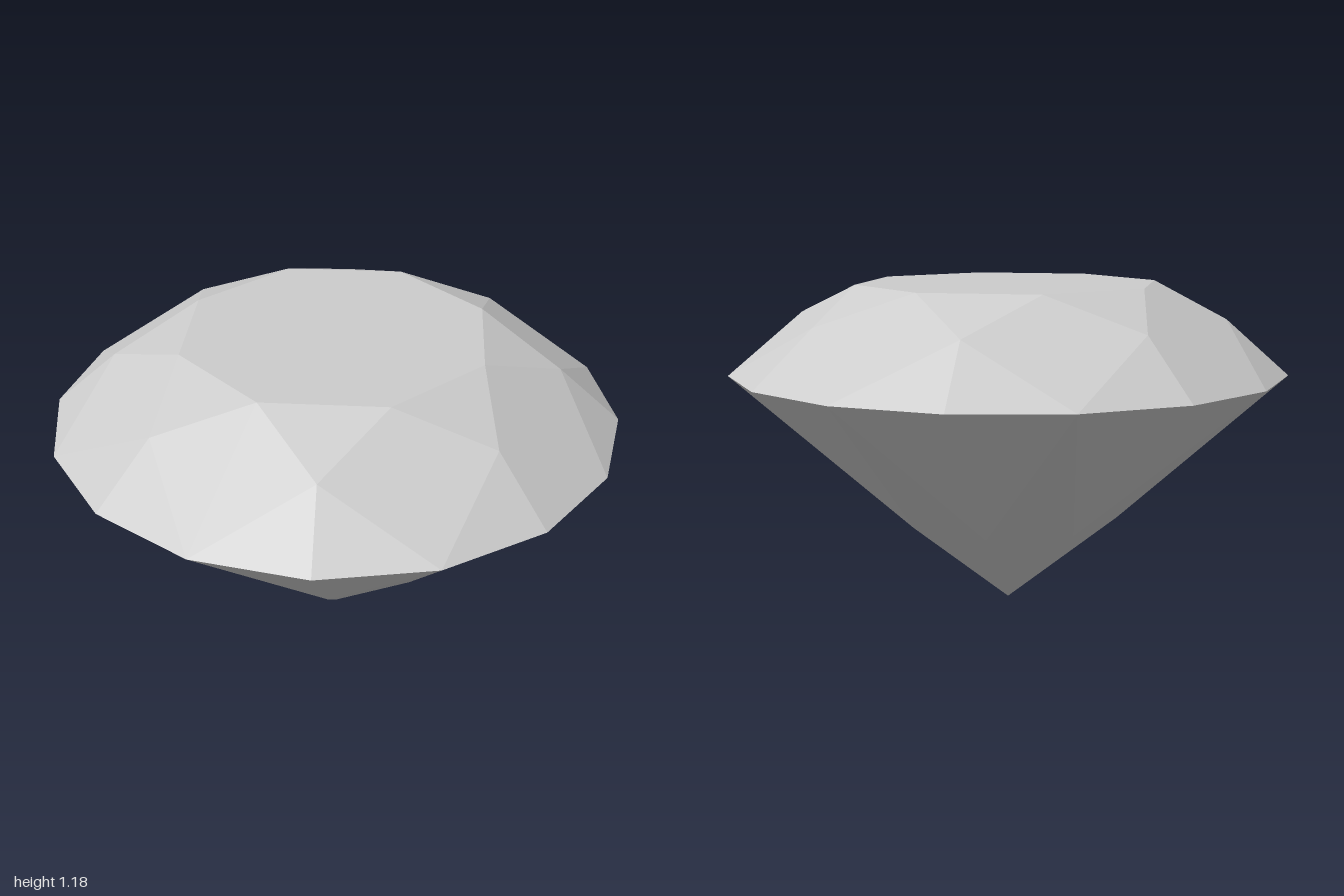
import * as THREE from 'three';

const SIDES = 8;
const STEP = (Math.PI * 2) / SIDES;
const GIRDLE_Y = 0.866;
const TABLE_Y = 1.177;
const TABLE_R = 0.55;
const MID_R = 0.78;   // crown points between the kite facets
const LOW_R = 0.405;  // pavilion points between the main facets

// Point on a ring; k counts eighths of a turn from the front towards +x
const ring = (r, y, k) => [r * Math.sin(k * STEP), y, r * Math.cos(k * STEP)];

// Heights that keep the four-cornered facets flat
const half = Math.cos(STEP / 2);
const MID_Y = TABLE_Y - (TABLE_Y - GIRDLE_Y) * (MID_R * half - TABLE_R) / (1 - TABLE_R);
const LOW_Y = GIRDLE_Y * LOW_R * half;

const table = k => ring(TABLE_R, TABLE_Y, k);
const mid = k => ring(MID_R, MID_Y, k + 0.5);
const girdle = k => ring(1, GIRDLE_Y, k);
const low = k => ring(LOW_R, LOW_Y, k + 0.5);
const tip = [0, 0, 0];

export function createModel() {
  const group = new THREE.Group();
  const gemGrey = new THREE.MeshStandardMaterial({ color: 0xcccccc });
  gemGrey.name = 'gemGrey';

  // Repeats a set of triangles around the axis as one flat-sided mesh
  const addFacets = (name, trianglesAt) => {
    const points = [];
    for (let k = 0; k < SIDES; k++) points.push(...trianglesAt(k).flat(2));
    const geometry = new THREE.BufferGeometry();
    geometry.setAttribute('position', new THREE.Float32BufferAttribute(points, 3));
    geometry.computeVertexNormals();
    const mesh = new THREE.Mesh(geometry, gemGrey);
    mesh.name = name;
    group.add(mesh);
  };

  // Crown
  addFacets('table', k => [[[0, TABLE_Y, 0], table(k), table(k + 1)]]);
  addFacets('starFacets', k => [[table(k), mid(k), table(k + 1)]]);
  addFacets('kiteFacets', k => [
    [table(k), mid(k - 1), girdle(k)],
    [table(k), girdle(k), mid(k)],
  ]);
  addFacets('upperGirdleFacets', k => [
    [mid(k), girdle(k), girdle(k + 0.5)],
    [mid(k), girdle(k + 0.5), girdle(k + 1)],
  ]);

  // Pavilion
  addFacets('lowerGirdleFacets', k => [
    [low(k), girdle(k + 0.5), girdle(k)],
    [low(k), girdle(k + 1), girdle(k + 0.5)],
  ]);
  addFacets('pavilionMainFacets', k => [
    [tip, girdle(k), low(k - 1)],
    [tip, low(k), girdle(k)],
  ]);

  return group;
}
